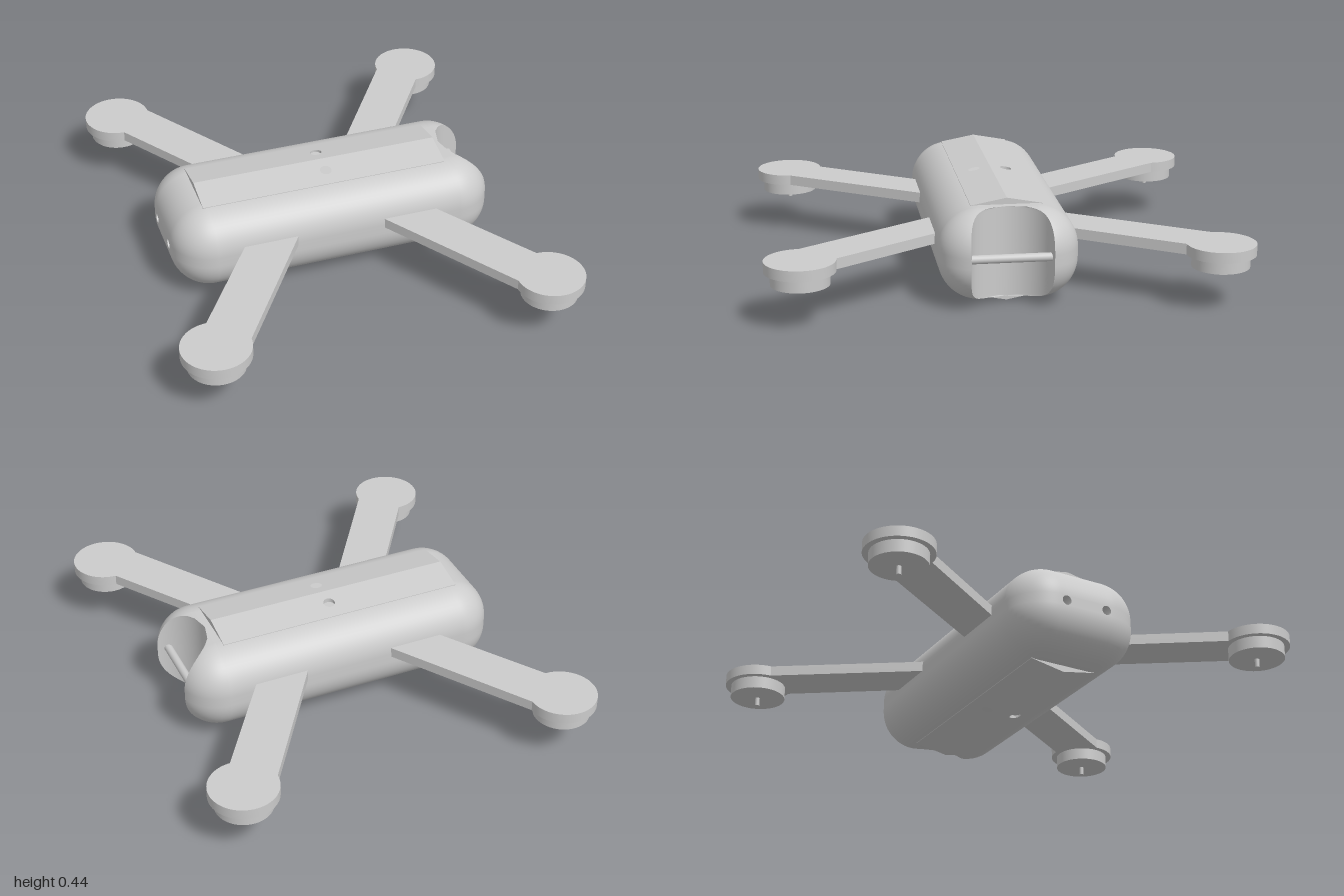
import * as THREE from 'three';
import { toCreasedNormals } from 'three/addons/utils/BufferGeometryUtils.js';

const material = new THREE.MeshStandardMaterial({ color: 0xcccccc });
const R = 0.17;                        // body corner radius
const CX = 0.545, CZ = 0.12;           // corner centres of the body outline
const YC = 0.22, HY = 0.1925;          // body mid height and half height
const NOTCH_X = 0.715, NOTCH_R = 0.17; // vertical scoop at the +x end

function add(parent, name, geometry, x = 0, y = 0, z = 0) {
  const mesh = new THREE.Mesh(geometry, material);
  mesh.name = name;
  mesh.position.set(x, y, z);
  parent.add(mesh);
  return mesh;
}

// Surface through equal-length rows of points; skip(row, column) leaves quads open
function surface(rows, skip = () => false) {
  const n = rows[0].length, all = [], kept = [];
  for (let i = 0; i < rows.length - 1; i++) {
    for (let j = 0; j < n - 1; j++) {
      const a = i * n + j, b = a + 1, c = a + n, d = c + 1;
      all.push(a, c, b, b, c, d);
      if (!skip(i, j)) kept.push(a, c, b, b, c, d);
    }
  }
  const g = new THREE.BufferGeometry();
  g.setAttribute('position', new THREE.Float32BufferAttribute(rows.flat(2), 3));
  g.setIndex(all);
  g.computeVertexNormals();
  g.setIndex(kept);
  return g;
}

// Half of a rounded rectangle, t = 0 at the +x end to t = 2 at the -x end
function outline(t, rho) {
  const q = t > 1 ? 2 - t : t;
  const a = THREE.MathUtils.clamp((q - 0.2) / 0.6, 0, 1) * Math.PI / 2;
  const x = CX * Math.min(1, (1 - q) / 0.2) + rho * Math.cos(a);
  const z = CZ * Math.min(1, q / 0.2) + rho * Math.sin(a);
  return [t > 1 ? -x : x, z];
}

// Parameter at which the outline leaves the scoop
function notchEdge(rho) {
  let lo = 0, hi = 0.8;
  for (let k = 0; k < 40; k++) {
    const mid = (lo + hi) / 2, [x, z] = outline(mid, rho);
    if (Math.hypot(x - NOTCH_X, z) < NOTCH_R) lo = mid; else hi = mid;
  }
  return lo;
}

function buildBody() {
  const group = new THREE.Group();
  group.name = 'body';
  const STEPS = 80, ARC = 14, levels = [];
  for (const s of [-1, 1]) {
    for (let k = 0; k <= ARC; k++) {
      const phi = (s < 0 ? k - ARC : k) / ARC * Math.PI / 2;
      levels.push([YC + s * (HY - R) + R * Math.sin(phi), Math.max(0, R * Math.cos(phi))]);
    }
  }
  const shell = [], wall = [];
  for (const [y, rho] of levels) {
    const u0 = notchEdge(rho), half = [];
    for (let i = 0; i <= STEPS; i++) {
      const t = 2 * i / STEPS;
      half.push(outline(t < 0.8 ? u0 + (0.8 - u0) * t / 0.8 : t, rho));
    }
    const back = half.slice(0, -1).reverse().map(([x, z]) => [x, y, -z]);
    shell.push([...half.map(([x, z]) => [x, y, z]), ...back]);
    const start = Math.atan2(half[0][1], half[0][0] - NOTCH_X);
    wall.push(Array.from({ length: 41 }, (_, k) => {
      const a = THREE.MathUtils.lerp(2 * Math.PI - start, start, k / 40);
      return [NOTCH_X + NOTCH_R * Math.cos(a), y, NOTCH_R * Math.sin(a)];
    }));
  }
  // close the flat top and bottom
  shell.unshift(shell[0].map(p => [0, p[1], 0]));
  shell.push(shell[shell.length - 1].map(p => [0, p[1], 0]));
  // the flat band at the -x end is left open for the port panel
  const open = (i, j) => i === ARC + 1 && j >= 0.9 * STEPS && j < 1.1 * STEPS;
  add(group, 'shell', surface(shell, open));
  add(group, 'noseScoop', surface(wall));

  // port panel with two round holes
  const h = HY - R, panel = new THREE.Shape();
  panel.moveTo(-CZ, -h).lineTo(CZ, -h).lineTo(CZ, h).lineTo(-CZ, h).closePath();
  for (const s of [-1, 1]) {
    panel.holes.push(new THREE.Path().absarc(s * 0.095, 0, 0.021, 0, 2 * Math.PI, true));
  }
  const ports = new THREE.ExtrudeGeometry(panel, { depth: 0.06, bevelEnabled: false, curveSegments: 24 });
  ports.rotateY(-Math.PI / 2);
  add(group, 'portPanel', ports, -(CX + R) + 0.06, YC, 0);
  add(group, 'portFloor', new THREE.BoxGeometry(0.01, 2 * h, 2 * CZ), -(CX + R) + 0.065, YC, 0);

  // crossbar inside the scoop
  const bar = new THREE.CylinderGeometry(0.018, 0.018, 0.34, 24);
  bar.rotateX(Math.PI / 2);
  add(group, 'noseBar', bar, 0.66, 0.225, 0);
  return group;
}

// Shallow ridged cover with one screw hole in each slope
function buildCover(name, x0, x1) {
  const group = new THREE.Group();
  group.name = name;
  for (const s of [-1, 1]) {
    const shape = new THREE.Shape();
    shape.moveTo(x0, 0).lineTo(x1, 0).lineTo(x1, s * 0.15).lineTo(x0, s * 0.15).closePath();
    shape.holes.push(new THREE.Path().absarc(0, s * 0.07, 0.025, 0, 2 * Math.PI, true));
    const g = new THREE.ExtrudeGeometry(shape, { depth: 1, bevelEnabled: false, curveSegments: 24 });
    g.rotateX(-Math.PI / 2);
    const p = g.attributes.position;
    for (let i = 0; i < p.count; i++) {
      const top = 0.22 - 0.028 * Math.abs(p.getZ(i)) / 0.15;
      p.setY(i, p.getY(i) > 0.5 ? top : 0.187);
    }
    g.computeVertexNormals();
    add(group, 'slope', g);
  }
  group.position.y = YC;
  return group;
}

// Flat arm ending in a round pad, with a motor and shaft below
function buildArm(sx, sz) {
  const group = new THREE.Group();
  group.name = (sz > 0 ? 'front' : 'back') + (sx > 0 ? 'Left' : 'Right') + 'Arm';
  const points = [[0.136, 0.2], [0.372, 0.2]];
  for (let k = 0; k <= 48; k++) {
    const a = -Math.PI / 2 + 1.5 * Math.PI * k / 48;
    points.push([0.715 + 0.145 * Math.cos(a), 0.855 + 0.145 * Math.sin(a)]);
  }
  const shape = new THREE.Shape(points.map(([x, z]) => new THREE.Vector2(sx * x, -sz * z)));
  const plate = new THREE.ExtrudeGeometry(shape, { depth: 0.045, bevelEnabled: false });
  plate.rotateX(-Math.PI / 2);
  add(group, 'armPlate', toCreasedNormals(plate, 0.5), 0, 0.228, 0);
  add(group, 'motor', new THREE.CylinderGeometry(0.12, 0.12, 0.055, 48), sx * 0.715, 0.2015, sz * 0.855);
  add(group, 'shaft', new THREE.CylinderGeometry(0.01, 0.01, 0.04, 16), sx * 0.715, 0.157, sz * 0.855);
  return group;
}

export function createModel() {
  const model = new THREE.Group();
  model.name = 'quadcopterFrame';
  model.add(buildBody());
  model.add(buildCover('topCover', -0.57, 0.518));
  const bottom = buildCover('bottomCover', -0.52, 0.518);
  bottom.rotation.x = Math.PI;
  model.add(bottom);
  for (const sx of [-1, 1]) for (const sz of [-1, 1]) model.add(buildArm(sx, sz));
  return model;
}
